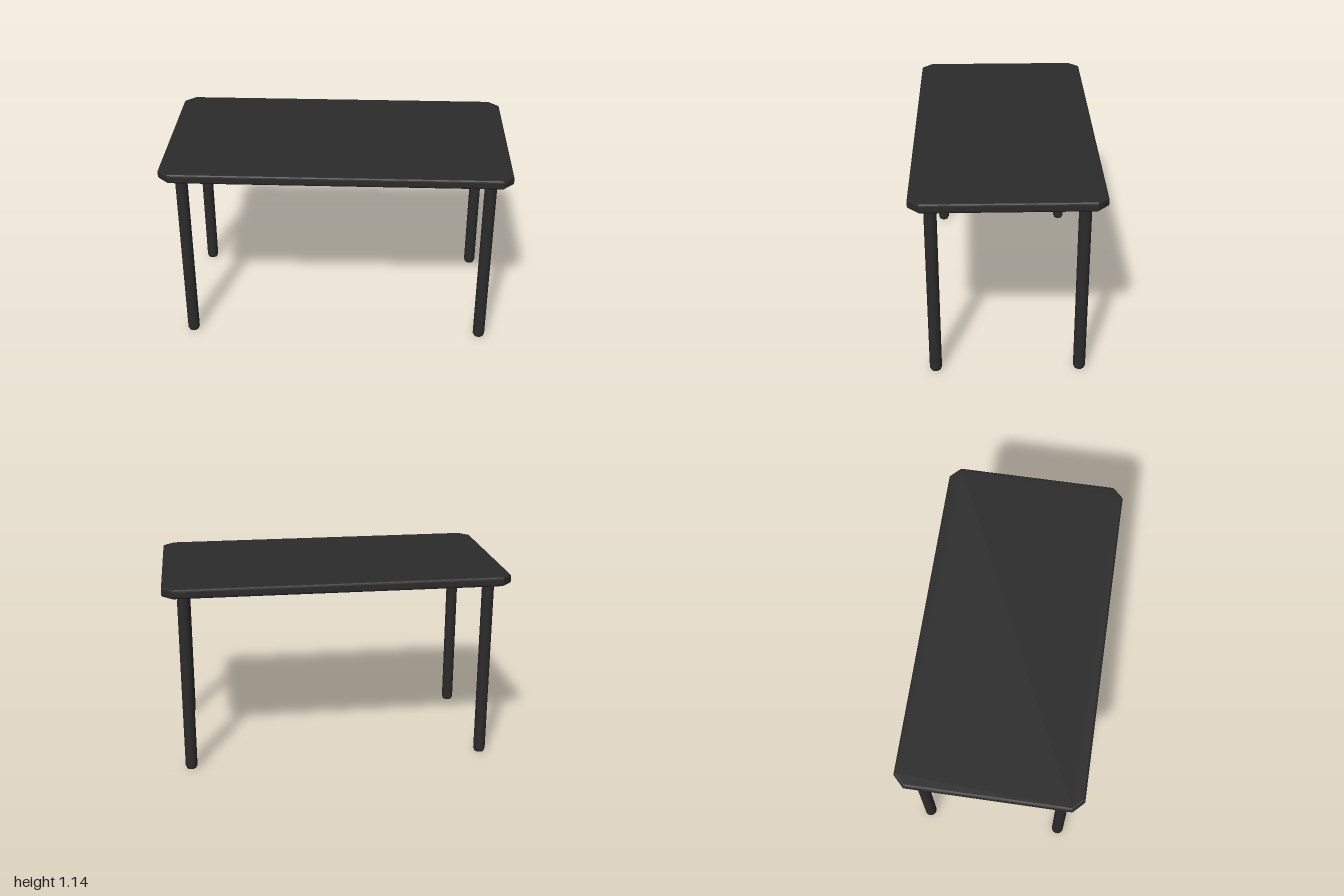
import * as THREE from 'three';

export function createModel() {
  const model = new THREE.Group();
  model.name = 'table';
  const topBlack = new THREE.MeshStandardMaterial({ color: 0x2b2b2b });
  topBlack.name = 'tabletop black';
  const legBlack = new THREE.MeshStandardMaterial({ color: 0x2b2b2c });
  legBlack.name = 'leg black';
  const footBlack = new THREE.MeshStandardMaterial({ color: 0x222222 });
  footBlack.name = 'foot black';

  const add = (parent, name, geometry, material, y = 0) => {
    const mesh = new THREE.Mesh(geometry, material);
    mesh.name = name;
    mesh.position.y = y;
    parent.add(mesh);
    return mesh;
  };

  // Tabletop: rectangle with clipped corners and softened edges
  const hx = 1, hz = 0.529, cut = 0.062, bevel = 0.014;
  const outline = new THREE.Shape([
    [hx - cut, -hz], [hx, cut - hz], [hx, hz - cut], [hx - cut, hz],
    [cut - hx, hz], [-hx, hz - cut], [-hx, cut - hz], [cut - hx, -hz],
  ].map(([x, z]) => new THREE.Vector2(x, z)));
  const slab = new THREE.ExtrudeGeometry(outline, {
    depth: 0.056 - 2 * bevel, bevelEnabled: true, bevelSize: bevel,
    bevelThickness: bevel, bevelOffset: -bevel, bevelSegments: 3,
  });
  slab.rotateX(-Math.PI / 2);
  add(model, 'tabletop', slab, topBlack, 1.085 + bevel);

  // Four legs, each with a mounting plate and a small foot
  const post = new THREE.CylinderGeometry(0.035, 0.035, 1.066, 32);
  const plate = new THREE.CylinderGeometry(0.07, 0.07, 0.008, 32);
  const foot = new THREE.CylinderGeometry(0.029, 0.029, 0.016, 32);
  for (const [x, side] of [[0.881, 'left'], [-0.881, 'right']]) {
    for (const [z, end] of [[0.413, 'front'], [-0.413, 'back']]) {
      const leg = new THREE.Group();
      leg.name = `${end} ${side} leg`;
      leg.position.set(x, 0, z);
      add(leg, 'post', post, legBlack, 0.014 + 0.533);
      add(leg, 'mounting plate', plate, legBlack, 1.082);
      add(leg, 'foot', foot, footBlack, 0.008);
      model.add(leg);
    }
  }
  return model;
}
